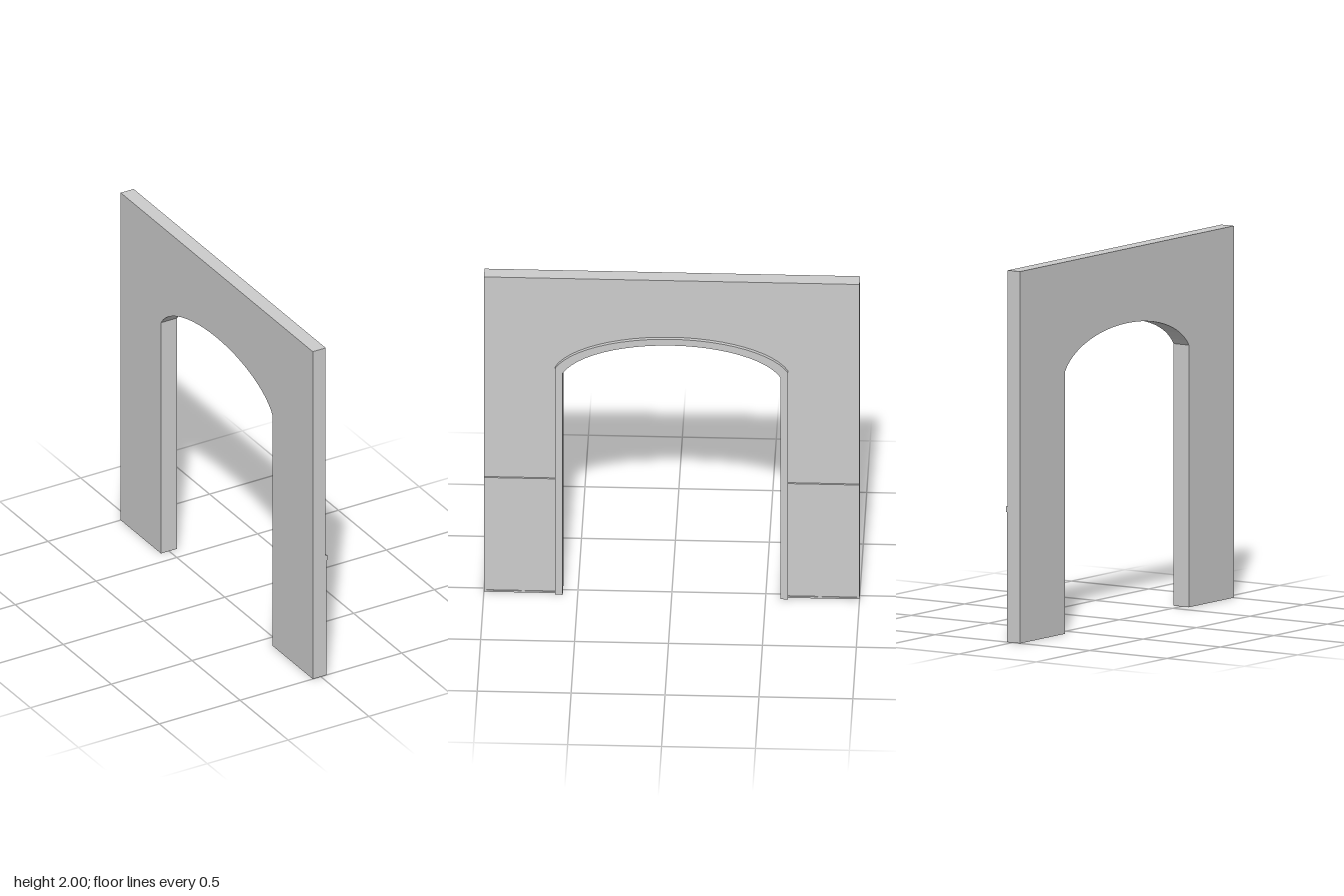
import * as THREE from 'three';

const BACK = -0.05, FACE = 0.03;

// Points (z, y) of a clipped elliptical arch over straight jambs, from -half to +half
function archPoints(half, spring, apex, a, segments = 24) {
  const k = Math.sqrt(1 - (half / a) ** 2);
  const b = (apex - spring) / (1 - k);
  const start = Math.acos(half / a);
  const pts = [new THREE.Vector2(-half, 0)];
  for (let i = 0; i <= segments; i++) {
    const t = Math.PI - start - (i / segments) * (Math.PI - 2 * start);
    pts.push(new THREE.Vector2(a * Math.cos(t), apex - b + b * Math.sin(t)));
  }
  pts.push(new THREE.Vector2(half, 0));
  return pts;
}

export function createModel() {
  const group = new THREE.Group();
  const material = new THREE.MeshStandardMaterial({ color: 0xcccccc });

  const add = (name, geometry) => {
    const mesh = new THREE.Mesh(geometry, material);
    mesh.name = name;
    group.add(mesh);
  };
  // Extrude a (z, y) outline through the wall thickness, from x0 to x1
  const slab = (name, points, x0, x1) => {
    const geometry = new THREE.ExtrudeGeometry(new THREE.Shape(points), { depth: x1 - x0, bevelEnabled: false });
    add(name, geometry.rotateY(Math.PI / 2).translate(x0, 0, 0));
  };
  // Moulding strip standing proud of the wall face
  const strip = (name, side, z0, z1, y0, y1, x1) => {
    const geometry = new THREE.BoxGeometry(x1 - FACE, y1 - y0, z1 - z0);
    add(name, geometry.translate((FACE + x1) / 2, (y0 + y1) / 2, side * (z0 + z1) / 2));
  };

  const opening = archPoints(0.58, 1.41, 1.6, 0.6);
  const trimEdge = archPoints(0.62, 1.44, 1.64, 0.64);

  // Wall with arched opening down to the floor
  slab('wall', [
    ...opening,
    new THREE.Vector2(1, 0), new THREE.Vector2(1, 2),
    new THREE.Vector2(-1, 2), new THREE.Vector2(-1, 0),
  ], BACK, FACE);

  // Raised casing around the opening
  slab('archTrim', [...opening, ...trimEdge.reverse()], FACE, 0.05);

  // Wainscot on both piers: chair rail, frame rails and stiles
  for (const side of [1, -1]) {
    strip('chairRail', side, 0.62, 1, 0.7, 0.73, 0.04);
    strip('topRail', side, 0.62, 1, 0.68, 0.7, 0.035);
    strip('bottomRail', side, 0.62, 1, 0, 0.01, 0.035);
    strip('outerStile', side, 0.985, 1, 0.01, 0.68, 0.035);
    strip('middleStile', side, 0.78, 0.8, 0.01, 0.68, 0.035);
  }
  return group;
}
